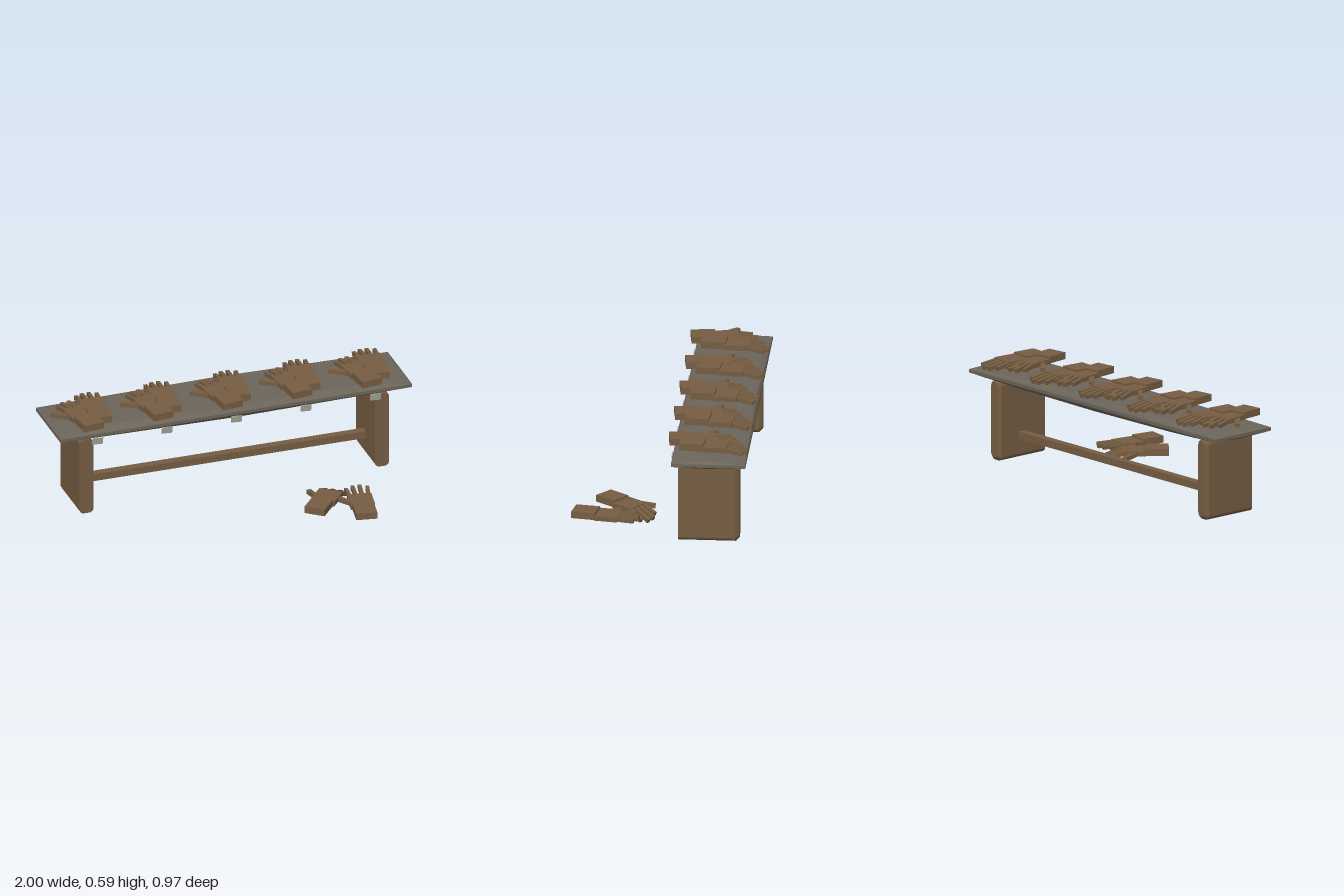
import * as THREE from 'three';
import { ConvexGeometry } from 'three/addons/geometries/ConvexGeometry.js';

const mat = (name, color) => {
  const m = new THREE.MeshStandardMaterial({ color });
  m.name = name;
  return m;
};

function box(name, material, w, h, d, x, y, z) {
  const m = new THREE.Mesh(new THREE.BoxGeometry(w, h, d), material);
  m.name = name;
  m.position.set(x, y, z);
  return m;
}

// A bar that starts at a joint and points along -z before turning
function digit(name, material, w, length, x, y, z, yaw, pitch) {
  const geo = new THREE.BoxGeometry(w, 0.022, length);
  geo.translate(0, 0, -length / 2);
  const m = new THREE.Mesh(geo, material);
  m.name = name;
  m.rotation.set(-pitch, yaw, 0, 'YXZ');
  m.position.set(x, y, z);
  return m;
}

// Blocky wooden hand, origin at the joint between wrist and palm
function makeHand(name, material, x, y, z, yaw, bend) {
  const hand = new THREE.Group();
  hand.name = name;
  hand.add(box('wrist', material, 0.115, 0.038, 0.13, 0, 0.019, 0.06));
  hand.add(box('palm', material, 0.132, 0.027, 0.13, 0, 0.0135, -0.065));
  [0.085, 0.11, 0.115, 0.095].forEach((length, i) => {
    const s = i - 1.5;
    hand.add(digit('finger', material, 0.02, length, s * 0.034, 0.014, -0.125, -s * 0.06, bend));
  });
  hand.add(digit('thumb', material, 0.026, 0.12, -0.05, 0.011, -0.05, 0.75, bend * 0.4));
  hand.position.set(x, y, z);
  hand.rotation.y = yaw;
  return hand;
}

// Slab leg: rounded profile run from front to back, with a chamfered back end
function legGeometry() {
  const w = 0.04, h = 0.22, r = 0.026;
  const s = new THREE.Shape();
  s.moveTo(-w + r, -h);
  s.lineTo(w - r, -h);
  s.absarc(w - r, -h + r, r, -Math.PI / 2, 0);
  s.absarc(w - r, h - r, r, 0, Math.PI / 2);
  s.absarc(-w + r, h - r, r, Math.PI / 2, Math.PI);
  s.absarc(-w + r, -h + r, r, Math.PI, Math.PI * 1.5);
  const geo = new THREE.ExtrudeGeometry(s, { depth: 0.33, steps: 2, bevelEnabled: false, curveSegments: 4 });
  const p = geo.attributes.position;
  for (let i = 0; i < p.count; i++) {
    const z = p.getZ(i);
    if (z < 0.01) p.setXY(i, p.getX(i) * 0.6, p.getY(i) + (p.getY(i) < 0 ? 0.018 : -0.004));
    else if (z < 0.2) p.setZ(i, 0.02);
  }
  geo.computeVertexNormals();
  return geo;
}

// Worn plank: a sharp rectangular rim bulging to a faceted top and bottom
function topGeometry() {
  const pts = [];
  const add = (x, y, z) => pts.push(new THREE.Vector3(x, y, z));
  for (const s of [-1, 1]) {
    for (const z of [-0.08, -0.48]) {
      add(s, 0.51, z);
      add(s, 0.528, z);
    }
    add(s * 0.7, 0.549, -0.13);
    add(s * 0.5, 0.55, -0.44);
    add(s * 0.98, 0.543, -0.28);
    add(s * 0.7, 0.488, -0.14);
    add(s * 0.6, 0.488, -0.45);
    add(s * 0.98, 0.497, -0.28);
  }
  add(0, 0.545, -0.095);
  add(0, 0.55, -0.465);
  add(0, 0.489, -0.095);
  add(0, 0.488, -0.465);
  return new ConvexGeometry(pts);
}

export function createModel() {
  const model = new THREE.Group();
  model.name = 'displayTable';
  const wood = mat('brown wood', 0x765d42);
  const plank = mat('grey wood', 0x6c655a);
  const label = mat('pale tag', 0xa6a69a);

  const top = new THREE.Mesh(topGeometry(), plank);
  top.name = 'tableTop';
  model.add(top);

  // Legs and stretcher
  const legGeo = legGeometry();
  for (const s of [-1, 1]) {
    const leg = new THREE.Mesh(legGeo, wood);
    leg.name = s > 0 ? 'leftLeg' : 'rightLeg';
    leg.position.set(s * 0.84, 0.265, -0.44);
    model.add(leg);
  }
  model.add(box('stretcher', wood, 1.63, 0.04, 0.045, 0, 0.17, -0.28));

  // Five pairs of hands with a tag hanging in front of each
  for (let i = -2; i <= 2; i++) {
    const x = i * 0.395;
    const pair = new THREE.Group();
    pair.name = 'handPair';
    pair.add(makeHand('nearHand', wood, -0.04, 0.566, -0.178, 0.12, 0.15));
    pair.add(makeHand('farHand', wood, 0.05, 0.565, -0.245, -0.08, 0.17));
    pair.position.x = x;
    model.add(pair);

    const tag = box('tag', label, 0.06, 0.038, 0.006, x, 0.488, -0.075);
    tag.rotation.set(0.12, 0, -0.06);
    model.add(tag);
  }

  // Fallen pair on the ground
  model.add(makeHand('fallenHandBent', wood, 0.38, 0.058, 0.238, -0.69, 0.4));
  model.add(makeHand('fallenHandFlat', wood, 0.57, 0.056, 0.353, -0.17, 0));
  return model;
}
